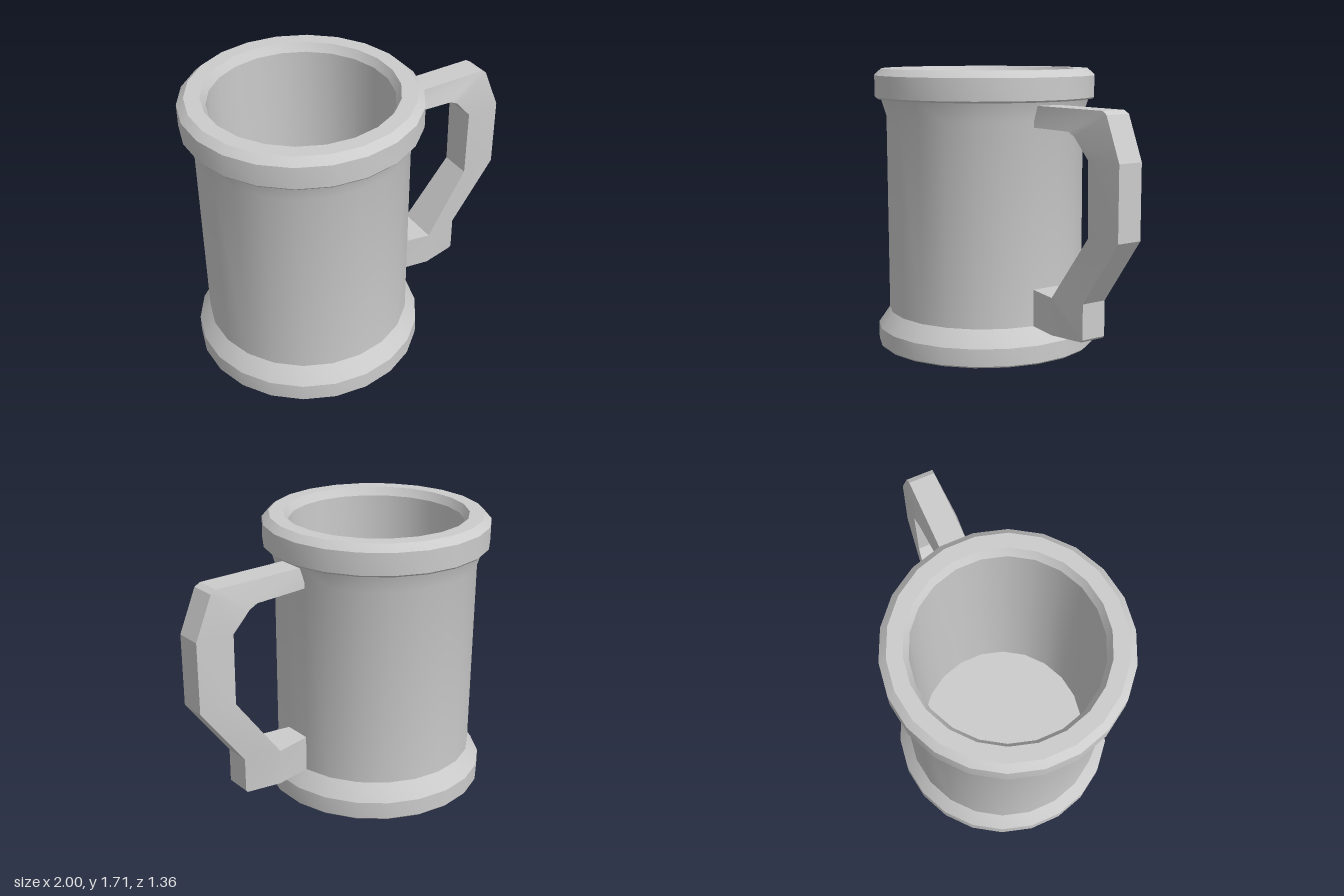
import * as THREE from 'three';
import { toCreasedNormals } from 'three/addons/utils/BufferGeometryUtils.js';

const material = new THREE.MeshStandardMaterial({ color: 0xcccccc });

function addPart(group, name, geometry, crease) {
  const mesh = new THREE.Mesh(toCreasedNormals(geometry, crease), material);
  mesh.name = name;
  group.add(mesh);
  return mesh;
}

// Loft between four-cornered sections; each section is an outer and an inner
// edge given as [x, y, halfWidth]. Triangles that collapse are skipped.
function loft(sections) {
  const rings = sections.map(([o, i]) => [
    [o[0], o[1], o[2]], [o[0], o[1], -o[2]],
    [i[0], i[1], -i[2]], [i[0], i[1], i[2]],
  ].map((p) => new THREE.Vector3(...p)));
  const positions = [];
  const triangle = (a, b, c) => {
    if (a.equals(b) || b.equals(c) || c.equals(a)) return;
    for (const p of [a, b, c]) positions.push(p.x, p.y, p.z);
  };
  const quad = (a, b, c, d) => {
    triangle(a, b, c);
    triangle(a, c, d);
  };
  for (let s = 0; s < rings.length - 1; s++) {
    const a = rings[s], b = rings[s + 1];
    for (let k = 0; k < 4; k++) {
      const n = (k + 1) % 4;
      quad(a[k], b[k], b[n], a[n]);
    }
  }
  quad(...rings[0]);
  quad(...[...rings[rings.length - 1]].reverse());
  const geometry = new THREE.BufferGeometry();
  geometry.setAttribute('position', new THREE.Float32BufferAttribute(positions, 3));
  return geometry;
}

export function createModel() {
  const mug = new THREE.Group();
  mug.name = 'mug';

  // Hollow body: base, flared foot, wall, collar, rim, inside wall and floor
  const profile = [
    [0, 0], [0.67, 0], [0.68, 0.01], [0.68, 0.115], [0.61, 0.215],
    [0.61, 1.42], [0.645, 1.53], [0.672, 1.53], [0.68, 1.54], [0.68, 1.67],
    [0.638, 1.71], [0.55, 1.71], [0.522, 1.66], [0.522, 0.13], [0, 0.13],
  ].map(([r, y]) => new THREE.Vector2(r, y));
  const body = addPart(mug, 'body', new THREE.LatheGeometry(profile, 22), 0.45);
  body.position.x = -0.325;

  // Angular handle, thicker on its inner side and swelling at the lower bend
  const bend = [0.5, 0.435, 0.125];
  addPart(mug, 'handle', loft([
    [[0.25, 1.51, 0.08], [0.25, 1.385, 0.085]],
    [[0.86, 1.51, 0.077], [0.62, 1.385, 0.11]],
    [[0.895, 1.49, 0.08], [0.67, 1.36, 0.11]],
    [[1, 1.24, 0.08], [0.775, 1.24, 0.1]],
    [[1, 0.815, 0.08], [0.775, 0.815, 0.095]],
    [[0.72, 0.435, 0.08], bend],
    [[0.72, 0.228, 0.08], bend],
    [[0.708, 0.215, 0.08], bend],
    [[0.5, 0.215, 0.12], bend],
    [[0.25, 0.215, 0.08], [0.25, 0.435, 0.08]],
  ]), 0.35);

  return mug;
}
